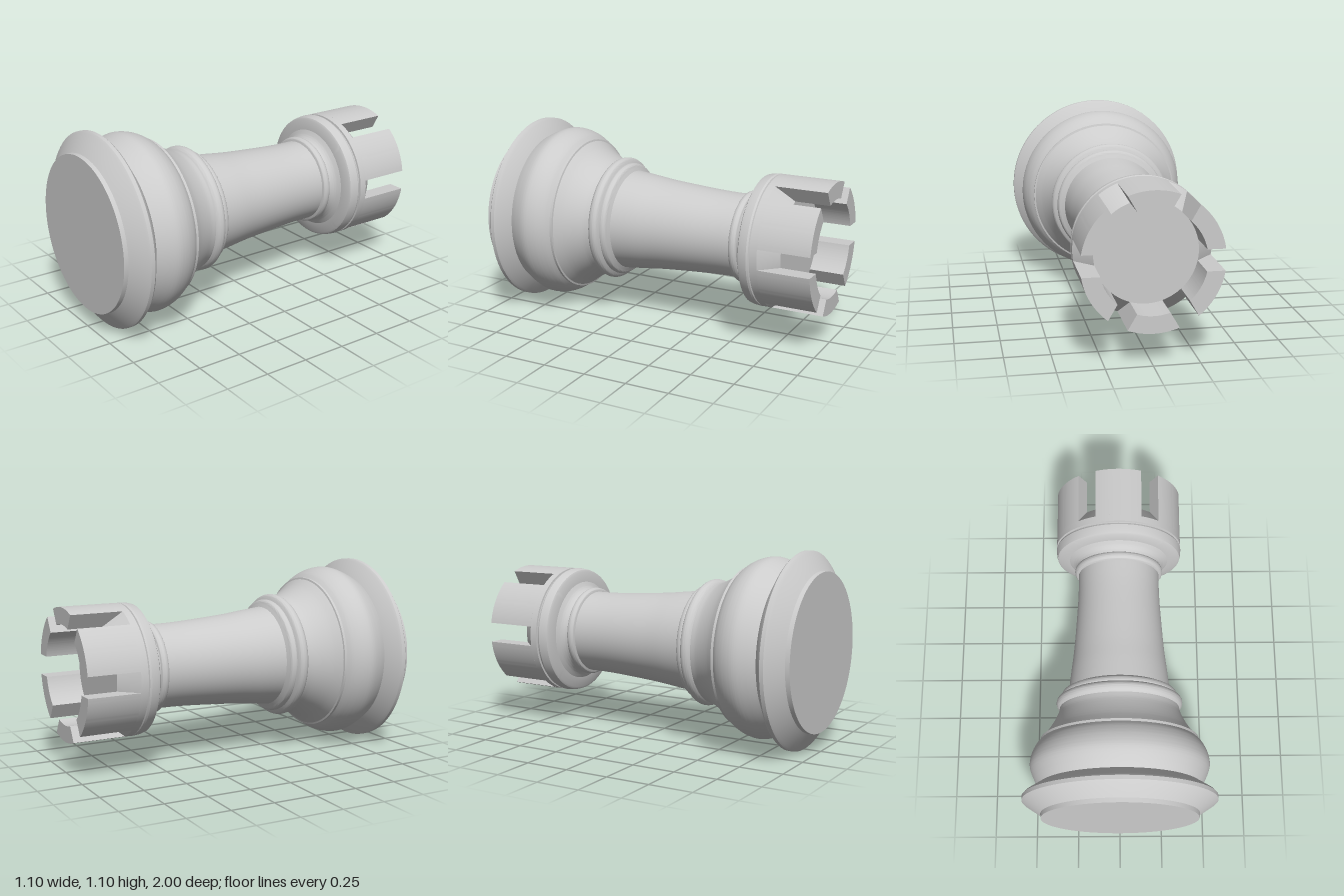
import * as THREE from 'three';
import { toCreasedNormals } from 'three/addons/utils/BufferGeometryUtils.js';

const AXIS_Y = 0.552; // height of the lying piece's axis
const SEGMENTS = 128;
const material = new THREE.MeshStandardMaterial({ color: 0xcccccc });

// Turned section around the z axis; profile is [radius, z] from base (+z) to crown (-z)
function turned(name, profile, smooth = false) {
  let pts = profile.map(([r, z]) => new THREE.Vector2(r, -z));
  if (smooth) pts = new THREE.SplineCurve(pts).getPoints(profile.length * 6);
  const geo = toCreasedNormals(new THREE.LatheGeometry(pts, SEGMENTS), 0.5);
  geo.rotateX(-Math.PI / 2);
  const mesh = new THREE.Mesh(geo, material);
  mesh.name = name;
  return mesh;
}

// Arc-shaped block between two slots with parallel sides
function merlon(index) {
  const outer = 0.375, inner = 0.28, halfSlot = 0.058, half = Math.PI / 6;
  const a = half - Math.asin(halfSlot / outer);
  const b = half - Math.asin(halfSlot / inner);
  const shape = new THREE.Shape();
  shape.absarc(0, 0, outer, -a, a, false);
  shape.absarc(0, 0, inner, b, -b, true);
  shape.closePath();
  const geo = new THREE.ExtrudeGeometry(shape, { depth: 0.3, bevelEnabled: false, curveSegments: 16 });
  const mesh = new THREE.Mesh(toCreasedNormals(geo, 0.5), material);
  mesh.name = 'merlon' + (index + 1);
  mesh.position.z = -1;
  mesh.rotation.z = half + index * Math.PI / 3;
  return mesh;
}

export function createModel() {
  const model = new THREE.Group();
  model.name = 'rook';
  const body = new THREE.Group();
  body.name = 'body';
  body.position.y = AXIS_Y;
  model.add(body);

  // Flat foot and its sharp flange
  body.add(turned('foot', [[0, 1], [0.443, 1], [0.445, 0.975], [0.46, 0.965], [0.54, 0.912],
    [0.551, 0.902], [0.551, 0.88], [0.54, 0.868], [0.462, 0.818]]));
  // Rounded belly with a step, then a concave shoulder
  body.add(turned('belly', [[0.462, 0.818], [0.485, 0.775], [0.505, 0.725], [0.509, 0.685],
    [0.498, 0.635], [0.475, 0.59], [0.45, 0.562]], true));
  body.add(turned('bellyStep', [[0.45, 0.562], [0.45, 0.548], [0.44, 0.545]]));
  body.add(turned('shoulder', [[0.44, 0.545], [0.405, 0.5], [0.375, 0.45], [0.352, 0.4], [0.344, 0.365]], true));
  // Double bead under the shaft
  body.add(turned('lowerBead', [[0.344, 0.365], [0.357, 0.352], [0.363, 0.33], [0.355, 0.31], [0.332, 0.297]], true));
  body.add(turned('upperBead', [[0.332, 0.297], [0.333, 0.285], [0.325, 0.268], [0.31, 0.26], [0.29, 0.25]], true));
  // Tapering shaft
  body.add(turned('shaft', [[0.292, 0.252], [0.28, 0.14], [0.264, 0], [0.248, -0.22], [0.241, -0.36], [0.24, -0.478]], true));
  // Neck ring and flare
  body.add(turned('neckRing', [[0.24, -0.475], [0.256, -0.481], [0.263, -0.5], [0.257, -0.518], [0.246, -0.524]], true));
  body.add(turned('neckFlare', [[0.246, -0.524], [0.252, -0.54], [0.268, -0.558], [0.295, -0.574]], true));
  // Collar below the crown, with a narrow groove
  body.add(turned('collar', [[0.295, -0.574], [0.355, -0.581], [0.367, -0.588], [0.372, -0.605],
    [0.376, -0.638], [0.372, -0.648], [0.364, -0.652], [0.364, -0.658]]));
  // Crown drum: sloping slot floors rise to the flat inner floor
  body.add(turned('crownDrum', [[0.364, -0.658], [0.375, -0.66], [0.375, -0.7], [0.28, -0.8], [0, -0.8]]));

  const crown = new THREE.Group();
  crown.name = 'battlements';
  for (let i = 0; i < 6; i++) crown.add(merlon(i));
  body.add(crown);

  return model;
}
